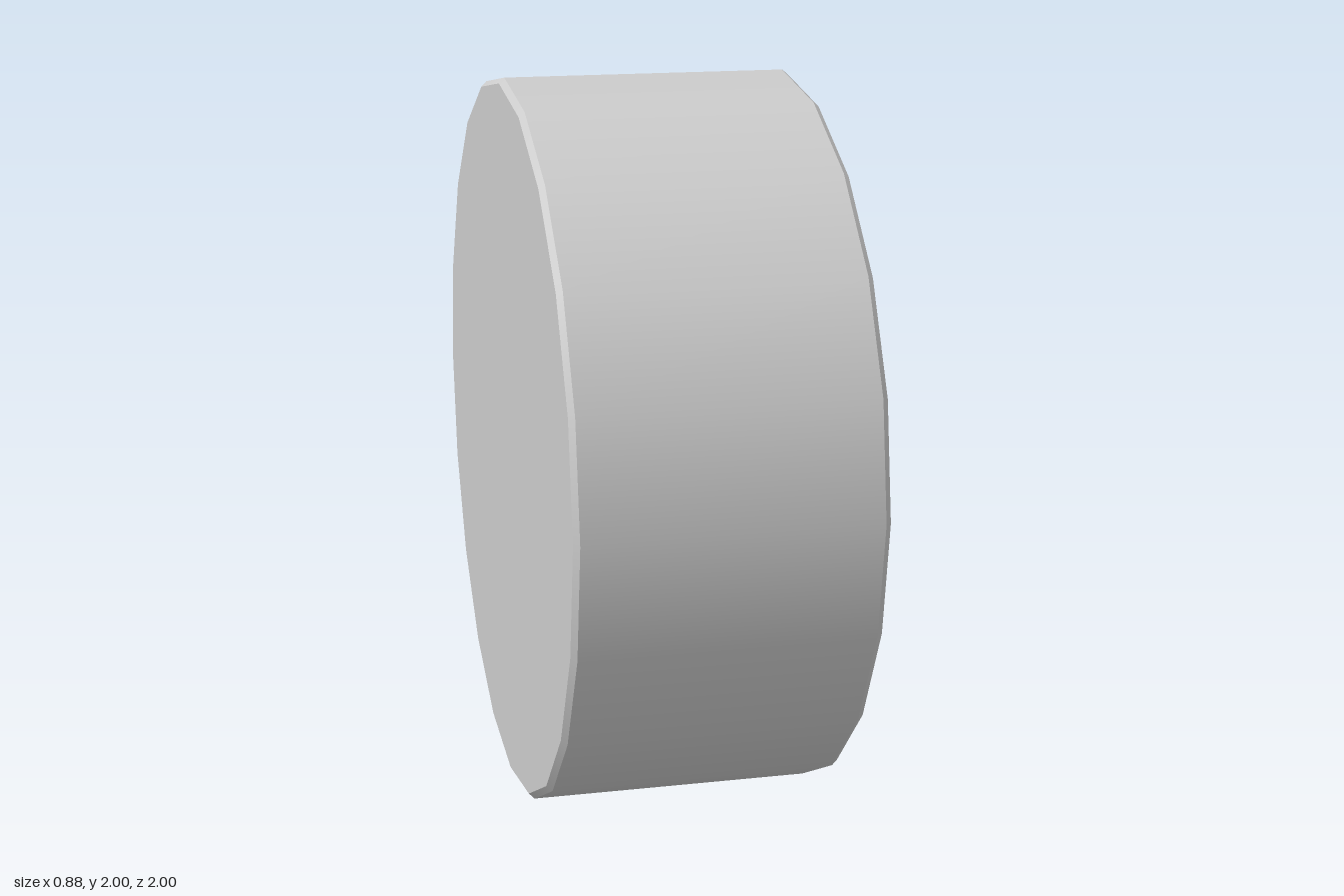
import * as THREE from 'three';

const SIDES = 20;

export function createModel() {
  const group = new THREE.Group();
  const material = new THREE.MeshStandardMaterial({ color: 0xcccccc });

  // Revolves [radius, x] pairs around the x axis
  function turned(name, profile) {
    const points = profile.map(([r, x]) => new THREE.Vector2(r, x));
    const mesh = new THREE.Mesh(new THREE.LatheGeometry(points, SIDES), material);
    mesh.name = name;
    mesh.rotation.z = -Math.PI / 2;
    return mesh;
  }

  // Housing: each stretch of the profile is its own strip, so edges stay crisp
  const housing = new THREE.Group();
  housing.name = 'housing';
  const outline = [
    [0, -0.44], [0.985, -0.44], [1, -0.425], [1, 0.345], [0.988, 0.36],
    [0.865, 0.36], [0.853, 0.348], [0.853, 0.18], [0.8, 0.18],
  ];
  const parts = ['backFace', 'backBevel', 'outerWall', 'frontBevel', 'rimFace',
    'innerBevel', 'innerWall', 'grooveFloor'];
  parts.forEach((name, i) => housing.add(turned(name, [outline[i], outline[i + 1]])));
  group.add(housing);

  // Domed button, rounded shoulder into a flat face
  group.add(turned('buttonShoulder', [
    [0.84, 0.18], [0.832, 0.23], [0.8, 0.295], [0.735, 0.36],
    [0.67, 0.402], [0.585, 0.432], [0.5, 0.44], [0, 0.44],
  ]));

  group.position.y = 1;
  const model = new THREE.Group();
  model.name = 'roundButton';
  model.add(group);
  return model;
}
